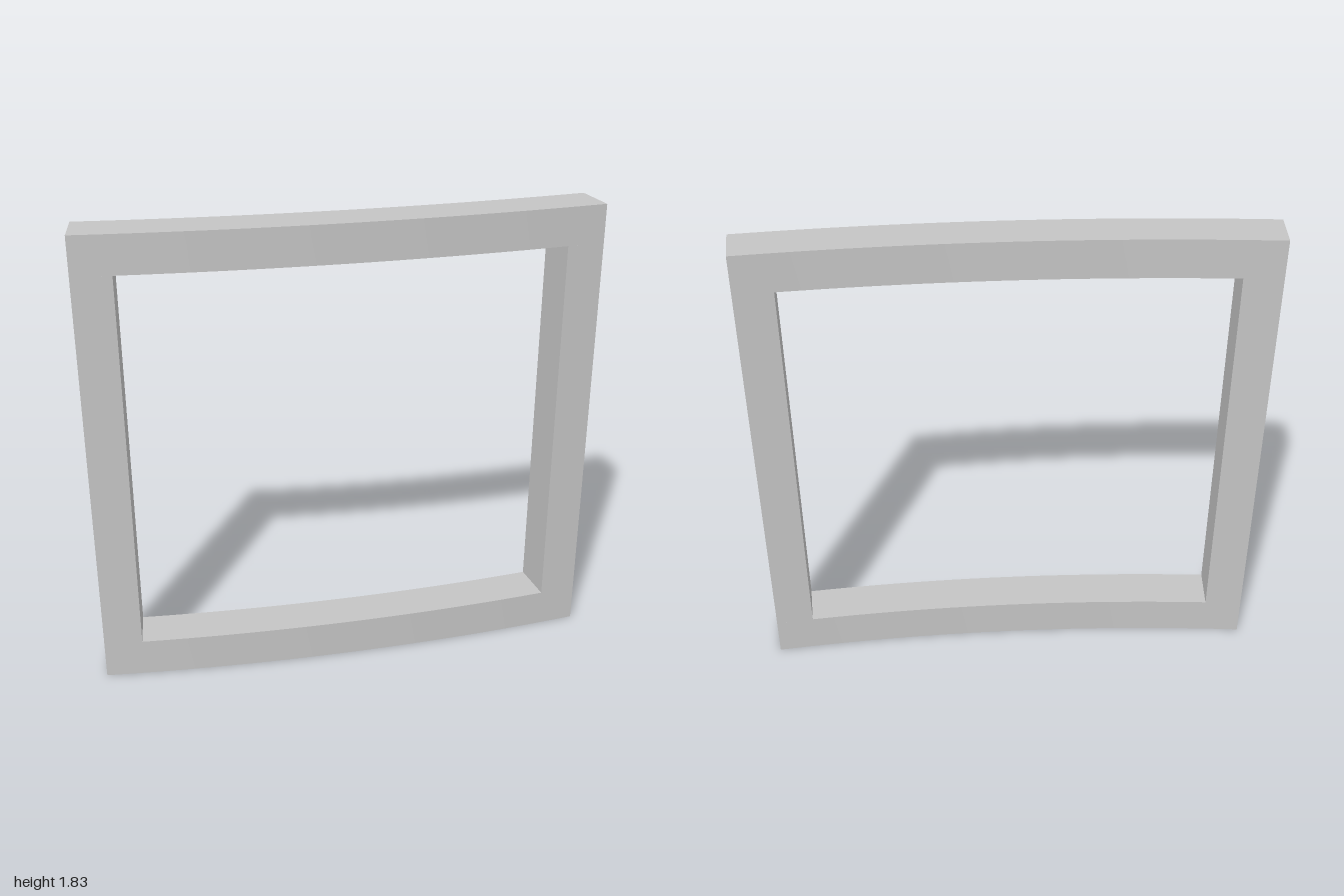
import * as THREE from 'three';
import { toCreasedNormals } from 'three/addons/utils/BufferGeometryUtils.js';

const FRONT_R = 9.05, BACK_R = 8.868; // radii of the curved front and back faces
const FRONT_Z = 0.118;                // foremost point of the bow
const HEIGHT = 1.83, RAIL = 0.15;
const OUTER = Math.asin(1 / FRONT_R);    // half angle to the outer ends
const INNER = Math.asin(0.85 / FRONT_R); // half angle to the opening

// Upright slab over an arc from angle a0 to a1, between heights y0 and y1
function arcSlab(a0, a1, y0, y1, segments) {
  const mid = -Math.PI / 2;
  const shape = new THREE.Shape();
  shape.absarc(0, 0, FRONT_R, mid + a0, mid + a1, false);
  shape.absarc(0, 0, BACK_R, mid + a1, mid + a0, true);
  const geometry = new THREE.ExtrudeGeometry(shape, {
    depth: y1 - y0, bevelEnabled: false, curveSegments: segments,
  });
  geometry.rotateX(-Math.PI / 2);
  geometry.translate(0, y0, FRONT_Z - FRONT_R);
  return toCreasedNormals(geometry, 0.5);
}

export function createModel() {
  const group = new THREE.Group();
  group.name = 'curvedFrame';
  const grey = new THREE.MeshStandardMaterial({ color: 0xc4c4c4 });
  grey.name = 'light grey';

  const add = (name, ...slab) => {
    const mesh = new THREE.Mesh(arcSlab(...slab), grey);
    mesh.name = name;
    group.add(mesh);
  };

  // Bowed rails across the full width
  add('bottomRail', -OUTER, OUTER, 0, RAIL, 12);
  add('topRail', -OUTER, OUTER, HEIGHT - RAIL, HEIGHT, 12);

  // Upright stiles between the rails
  add('leftStile', INNER, OUTER, RAIL, HEIGHT - RAIL, 2);
  add('rightStile', -OUTER, -INNER, RAIL, HEIGHT - RAIL, 2);

  return group;
}
